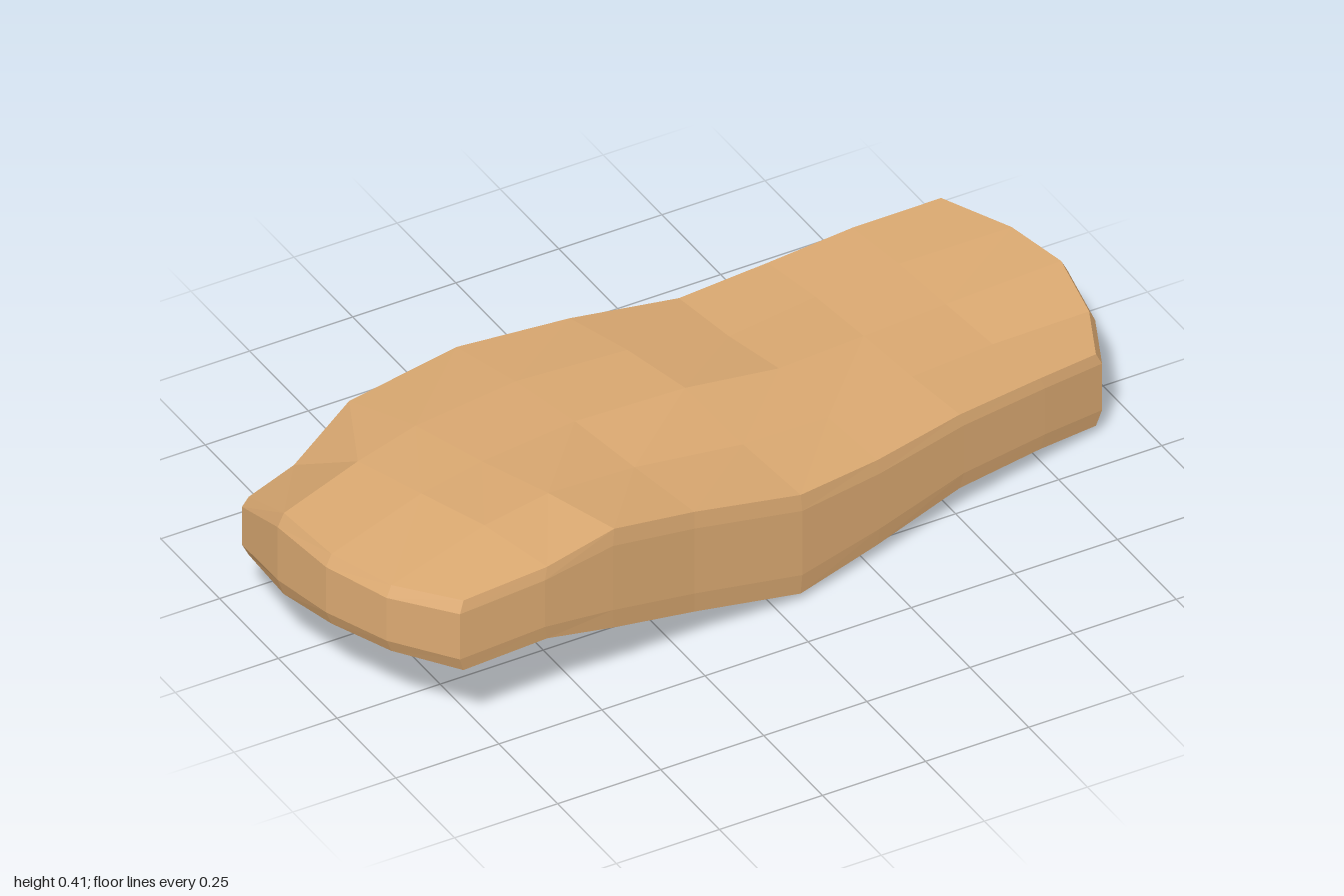
import * as THREE from 'three';

// Cross-sections from the right end (-x) to the left end (+x).
// plan: front, middle and back [x, z]; top and bottom: heights from front to back.
const SECTIONS = [
  { plan: [[-0.83, 0.475], [-0.987, 0.18], [-0.98, -0.19]], top: [0.375, 0.365, 0.37, 0.375, 0.29], bottom: [0.195, 0.195, 0.19, 0.165, 0.14] },
  { plan: [[-0.62, 0.468], [-0.72, 0.1], [-0.82, -0.275]], top: [0.385, 0.398, 0.385, 0.372, 0.265], bottom: [0.2, 0.13, 0.09, 0.055, 0.1] },
  { plan: [[-0.44, 0.442], [-0.545, 0.055], [-0.65, -0.335]], top: [0.405, 0.398, 0.38, 0.372, 0.335], bottom: [0.15, 0.09, 0.05, 0.02, 0.085] },
  { plan: [[-0.22, 0.402], [-0.285, 0.0], [-0.35, -0.398]], top: [0.348, 0.352, 0.36, 0.353, 0.332], bottom: [0.09, 0.05, 0.03, 0.015, 0.01] },
  { plan: [[0.06, 0.37], [-0.005, -0.015], [-0.07, -0.4]], top: [0.275, 0.3, 0.34, 0.332, 0.308], bottom: [0.02, 0.01, 0.008, 0.005, 0] },
  { plan: [[0.28, 0.315], [0.24, -0.04], [0.2, -0.402]], top: [0.255, 0.265, 0.29, 0.27, 0.265], bottom: [0.036, 0.036, 0.036, 0.035, 0.034] },
  { plan: [[0.52, 0.25], [0.48, -0.095], [0.44, -0.44]], top: [0.25, 0.25, 0.257, 0.26, 0.25], bottom: [0.06, 0.045, 0.04, 0.035, 0.025] },
  { plan: [[0.75, 0.192], [0.705, -0.135], [0.66, -0.46]], top: [0.228, 0.225, 0.237, 0.25, 0.252], bottom: [0.045, 0.02, 0.04, 0.045, 0.04] },
  { plan: [[0.915, 0.145], [1.003, -0.16], [0.89, -0.48]], top: [0.205, 0.2, 0.23, 0.232, 0.237], bottom: [0.02, 0.01, 0.045, 0.05, 0.05] },
];
const ROWS = 4; // strips from front to back

// One row of [x, z, top, bottom] points; the plan curves through its three points
function sectionPoints({ plan: [f, m, b], top, bottom }) {
  return top.map((y, j) => {
    const t = j / ROWS;
    const [x, z] = f.map((v, k) => v * (1 - t) * (1 - 2 * t) + m[k] * 4 * t * (1 - t) + b[k] * t * (2 * t - 1));
    return [x, z, y, bottom[j]];
  });
}

function slabGeometry() {
  const grid = SECTIONS.map(sectionPoints);
  const last = grid.length - 1;
  const positions = [];

  // Point at height fraction h, pulled in by a scale factor
  const point = ([x, z, top, bottom], h, inset) => [x * inset, bottom + (top - bottom) * h, z * inset];
  const quad = (a, b, c, d) => positions.push(...a, ...b, ...c, ...a, ...c, ...d);

  // Rim levels from underside to top: [height fraction, inset]
  const levels = [[0, 0.985], [0.2, 1], [0.85, 1], [1, 0.985]];
  const lower = (p) => point(p, ...levels[0]);
  const upper = (p) => point(p, ...levels[3]);

  // Top and underside
  for (let i = 0; i < last; i++) {
    for (let j = 0; j < ROWS; j++) {
      const cell = [grid[i][j], grid[i + 1][j], grid[i + 1][j + 1], grid[i][j + 1]];
      quad(...cell.map(upper));
      quad(...cell.map(lower).reverse());
    }
  }

  // Rim, walked counter-clockwise as seen from above
  const rim = [];
  for (let i = 0; i < last; i++) rim.push(grid[i][0]);
  for (let j = 0; j < ROWS; j++) rim.push(grid[last][j]);
  for (let i = last; i > 0; i--) rim.push(grid[i][ROWS]);
  for (let j = ROWS; j > 0; j--) rim.push(grid[0][j]);
  rim.forEach((p, n) => {
    const q = rim[(n + 1) % rim.length];
    for (let k = 0; k < levels.length - 1; k++) {
      quad(point(p, ...levels[k]), point(q, ...levels[k]), point(q, ...levels[k + 1]), point(p, ...levels[k + 1]));
    }
  });

  const geometry = new THREE.BufferGeometry();
  geometry.setAttribute('position', new THREE.Float32BufferAttribute(positions, 3));
  geometry.computeVertexNormals();
  return geometry;
}

export function createModel() {
  const group = new THREE.Group();
  group.name = 'wavySlab';
  const material = new THREE.MeshStandardMaterial({ color: 0xdcaa72, flatShading: true });
  const slab = new THREE.Mesh(slabGeometry(), material);
  slab.name = 'slab';
  group.add(slab);
  return group;
}
